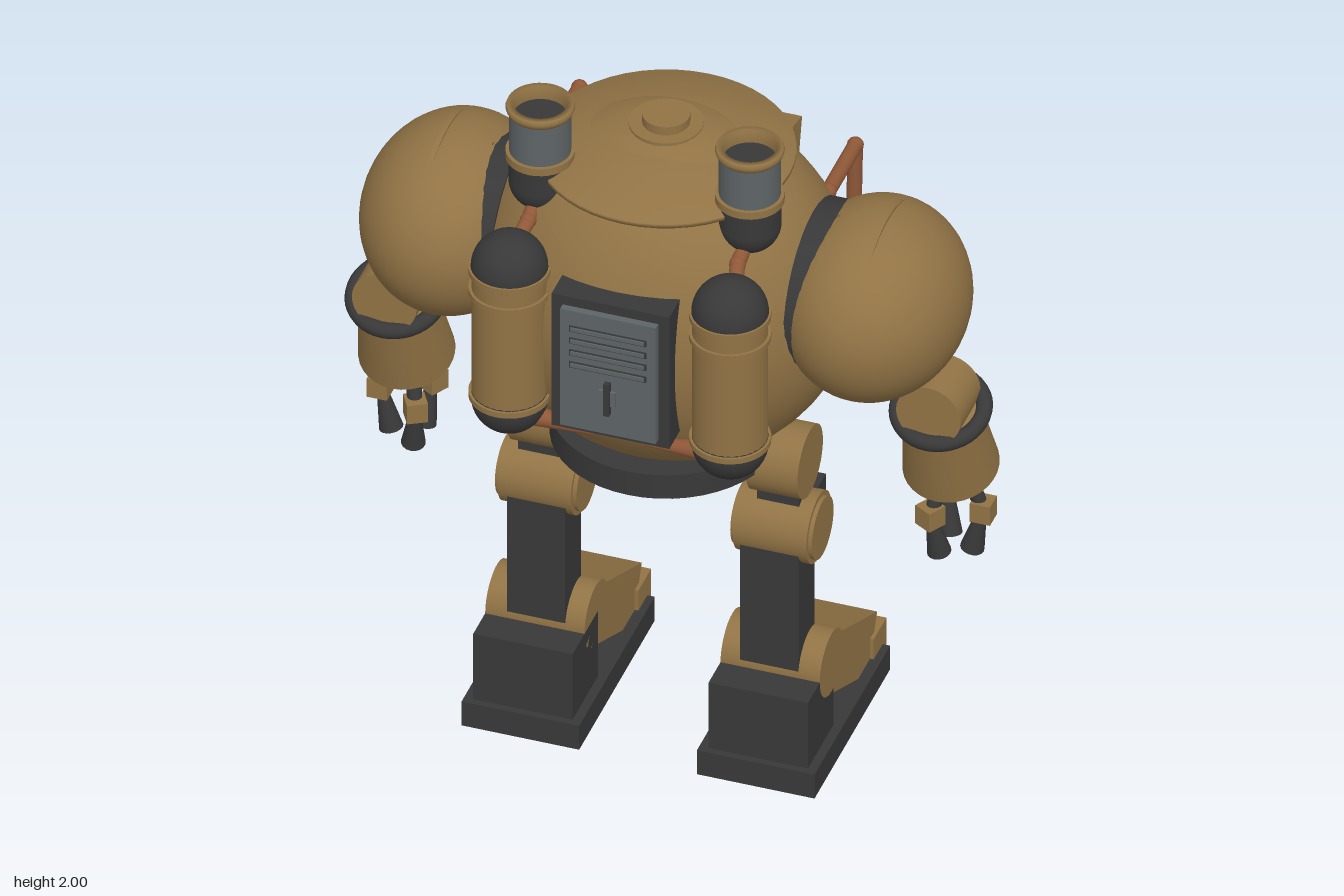
import * as THREE from 'three';

const mat = (name, color, side = THREE.FrontSide) => {
  const m = new THREE.MeshStandardMaterial({ color, side });
  m.name = name;
  return m;
};
const V = (x, y, z) => new THREE.Vector3(x, y, z);

export function createModel() {
  const brass = mat('brass', 0x917345);
  const iron = mat('dark iron', 0x383838);
  const steel = mat('steel', 0x5e6466, THREE.DoubleSide);
  const copper = mat('copper', 0x8f5838);
  const glass = mat('dark glass', 0x21393f);
  const model = new THREE.Group();
  model.name = 'walkingMachine';

  const add = (parent, name, geo, m, x = 0, y = 0, z = 0) => {
    const mesh = new THREE.Mesh(geo, m);
    mesh.name = name;
    mesh.position.set(x, y, z);
    parent.add(mesh);
    return mesh;
  };
  const group = (parent, name, x = 0, y = 0, z = 0) => {
    const g = new THREE.Group();
    g.name = name;
    g.position.set(x, y, z);
    parent.add(g);
    return g;
  };
  const box = (w, h, d) => new THREE.BoxGeometry(w, h, d);
  const cyl = (rt, rb, h, n = 32, open = false) => new THREE.CylinderGeometry(rt, rb, h, n, 1, open);
  const cylX = (r, l) => cyl(r, r, l).rotateZ(Math.PI / 2);
  const cylZ = (r, l, r2 = r) => cyl(r, r2, l).rotateX(-Math.PI / 2);
  const ball = (rx, ry = rx, rz = rx) => new THREE.SphereGeometry(1, 48, 32).scale(rx, ry, rz);
  // Straight rod between two points
  const rod = (parent, name, a, b, ra, rb, m) => {
    const d = b.clone().sub(a);
    const mesh = add(parent, name, cyl(rb, ra, d.length(), 16), m);
    mesh.position.copy(a).addScaledVector(d, 0.5);
    mesh.quaternion.setFromUnitVectors(V(0, 1, 0), d.normalize());
    return mesh;
  };
  // Pipe with ball joints along a path
  const pipe = (parent, name, pts, r) => {
    const g = group(parent, name);
    pts.forEach((p, i) => {
      add(g, 'joint', new THREE.SphereGeometry(r * 1.12, 12, 8), copper, p.x, p.y, p.z);
      if (i) rod(g, 'pipe', pts[i - 1], p, r, r, copper);
    });
  };

  // Hull, waist and lid
  add(model, 'hull', ball(0.5, 0.5, 0.415), brass, 0, 1.4, 0);
  add(model, 'waistRing', cyl(0.3, 0.3, 0.075, 48), iron, 0, 0.947, 0);
  add(model, 'bellyFrame', box(0.38, 0.04, 0.28), iron, 0, 0.895, 0);
  add(model, 'bellyPlate', box(0.3, 0.03, 0.2), steel, 0, 0.87, 0);
  const lid = [[0, 1.8], [0.335, 1.8], [0.335, 1.812], [0.25, 1.84], [0.19, 1.861], [0.12, 1.876], [0, 1.885]];
  add(model, 'lid', new THREE.LatheGeometry(lid.map(p => new THREE.Vector2(...p)), 48), brass);
  add(model, 'lidCollar', cyl(0.097, 0.097, 0.02), brass, 0, 1.885, 0);
  add(model, 'lidKnob', cyl(0.062, 0.062, 0.035), brass, 0, 1.903, 0);

  // Furnace door with vents and handle
  const door = group(model, 'door', 0, 1.4, 0);
  add(door, 'doorFrame', box(0.32, 0.42, 0.13), iron, 0, 0, 0.37);
  add(door, 'doorPlate', box(0.26, 0.37, 0.02), steel, 0, -0.003, 0.445);
  for (let i = 0; i < 4; i++) {
    add(door, 'ventGap', box(0.21, 0.018, 0.004), iron, 0, 0.013 + i * 0.038, 0.457);
    add(door, 'ventSlat', box(0.2, 0.011, 0.008), steel, 0, 0.014 + i * 0.038, 0.459);
  }
  add(door, 'handleBar', box(0.016, 0.1, 0.016), iron, 0, -0.07, 0.463);
  add(door, 'handleCross', box(0.045, 0.045, 0.008), steel, 0, -0.07, 0.459);

  // Viewing window, tilted down
  const win = group(model, 'window', 0, 1.525, -0.425);
  win.rotation.x = -0.22;
  add(win, 'windowBack', box(0.4, 0.21, 0.05), brass, 0, 0, 0.005);
  for (const s of [-1, 1]) {
    add(win, 'windowFrameSide', box(0.04, 0.21, 0.02), brass, s * 0.18, 0, -0.03);
    add(win, 'windowFrameRail', box(0.32, 0.035, 0.02), brass, 0, s * 0.0875, -0.03);
  }
  add(win, 'windowGlass', box(0.32, 0.14, 0.008), glass, 0, 0, -0.024);

  // Stepped round port below the window
  const port = group(model, 'port', 0, 1.125, -0.37);
  port.rotation.x = -0.42;
  [[0.14, 0.06, 0], [0.11, 0.03, -0.035], [0.08, 0.03, -0.055]].forEach(([r, l, z]) =>
    add(port, 'portRing', cylZ(r, l), brass, 0, 0, z));
  add(port, 'portLens', ball(0.042, 0.042, 0.025), iron, 0, 0, -0.07);

  for (const s of [1, -1]) {
    const side = s > 0 ? 'left' : 'right';

    // Gas tank
    const tank = group(model, side + 'Tank', s * 0.3, 0, 0.362);
    add(tank, 'tankBody', cyl(0.098, 0.098, 0.42), brass, 0, 1.405, 0);
    for (const y of [1.2, 1.612]) add(tank, 'tankCap', ball(0.1), iron, 0, y, 0);
    for (const y of [1.21, 1.54, 1.605]) add(tank, 'tankBand', cyl(0.106, 0.106, 0.016), brass, 0, y, 0);
    rod(model, side + 'TankNozzle', V(s * 0.23, 1.15, 0.36), V(s * 0.07, 1.14, 0.36), 0.027, 0.012, copper);
    pipe(model, side + 'TankPipe', [V(s * 0.3, 1.65, 0.33), V(s * 0.285, 1.69, 0.26), V(s * 0.285, 1.72, 0.17)], 0.02);

    // Chimney
    const ch = group(model, side + 'Chimney', s * 0.285, 0, 0.165);
    add(ch, 'chimneyFoot', ball(0.082), iron, 0, 1.76, 0);
    add(ch, 'chimneyBase', cyl(0.082, 0.082, 0.09), iron, 0, 1.8, 0);
    add(ch, 'chimneyBand', cyl(0.09, 0.09, 0.022), brass, 0, 1.842, 0);
    add(ch, 'chimneyStack', cyl(0.08, 0.08, 0.14, 32, true), steel, 0, 1.92, 0);
    add(ch, 'chimneyMouth', cyl(0.076, 0.076, 0.1), iron, 0, 1.91, 0);
    const rim = [[0.07, 1.96], [0.086, 1.978], [0.09, 1.989], [0.086, 2], [0.07, 2], [0.07, 1.96]];
    add(ch, 'chimneyRim', new THREE.LatheGeometry(rim.map(p => new THREE.Vector2(...p)), 32), brass);

    // Copper pipe beside the window
    pipe(model, side + 'SteamPipe', [
      V(s * 0.375, 1.63, -0.19), V(s * 0.375, 1.63, -0.4), V(s * 0.365, 1.35, -0.415),
      V(s * 0.22, 1.33, -0.44), V(s * 0.21, 1.14, -0.43), V(s * 0.2, 1.12, -0.3)], 0.02);

    // Shoulder
    const sh = group(model, side + 'Shoulder', 0, 1.47, 0);
    add(sh, 'shoulderCollar', cylX(0.235, 0.08), iron, s * 0.44, 0, 0);
    add(sh, 'shoulderRing', new THREE.TorusGeometry(0.205, 0.038, 12, 48).rotateY(Math.PI / 2), iron, s * 0.49, 0, 0);
    add(sh, 'shoulderBall', ball(0.245, 0.26, 0.295), brass, s * 0.57, 0, 0);
    add(sh, 'shoulderSeam', cylX(0.266, 0.014), brass, s * 0.598, 0, 0);

    // Arm, leaning toward -z
    const arm = group(model, side + 'Arm', s * 0.74, 0, 0);
    add(arm, 'elbow', cylZ(0.088, 0.155), brass, 0, 1.187, 0);
    const fore = group(arm, 'forearm', 0, 1.145, -0.02);
    fore.rotation.x = 0.33;
    add(fore, 'elbowRing', new THREE.TorusGeometry(0.113, 0.022, 12, 40).rotateX(Math.PI / 2), iron);
    add(fore, 'forearmShell', cyl(0.1, 0.126, 0.245), brass, 0, -0.122, 0);
    add(fore, 'wrist', cyl(0.075, 0.06, 0.06), iron, 0, -0.27, 0);
    for (let i = 0; i < 3; i++) {
      const finger = group(arm, 'finger', 0, 0, -0.122);
      finger.rotation.y = (s > 0 ? 0 : Math.PI) + i * Math.PI * 2 / 3;
      rod(finger, 'fingerRod', V(0.035, 0.89, 0), V(0.076, 0.77, 0), 0.02, 0.02, iron);
      add(finger, 'knuckle', box(0.055, 0.058, 0.055), brass, 0.08, 0.77, 0);
      rod(finger, 'claw', V(0.075, 0.755, 0), V(0.05, 0.64, 0), 0.014, 0.032, iron);
    }

    // Leg
    const leg = group(model, side + 'Leg', s * 0.32, 0, 0);
    add(leg, 'hip', cylX(0.1, 0.14), brass, s * 0.005, 0.91, 0.01);
    add(leg, 'thigh', box(0.115, 0.16, 0.1), iron, s * 0.005, 0.81, 0.01);
    add(leg, 'knee', cylX(0.098, 0.2), brass, 0, 0.71, 0.015);
    add(leg, 'kneeCap', cylX(0.085, 0.222), brass, 0, 0.71, 0.015);
    add(leg, 'kneeBracket', box(0.16, 0.1, 0.1), iron, 0, 0.745, -0.05);
    add(leg, 'kneePlate', box(0.14, 0.13, 0.08), brass, 0, 0.7, -0.075);
    add(leg, 'shin', box(0.158, 0.37, 0.125), iron, s * -0.003, 0.49, 0.043);
    add(leg, 'piston', cyl(0.036, 0.036, 0.34, 24), copper, 0, 0.49, -0.05);
    add(leg, 'pistonSeat', cyl(0.045, 0.045, 0.05, 24), brass, 0, 0.34, -0.05);
    add(leg, 'ankle', cylX(0.092, 0.27), brass, 0, 0.285, 0.015);

    // Foot
    const foot = group(leg, 'foot');
    add(foot, 'sole', box(0.32, 0.076, 0.59), iron, 0, 0.038, -0.075);
    add(foot, 'heel', box(0.27, 0.21, 0.2), iron, 0, 0.18, 0.1);
    add(foot, 'instep', box(0.26, 0.165, 0.37), brass, 0, 0.193, -0.153).rotation.x = -0.445;
    add(foot, 'toe', box(0.28, 0.085, 0.1), brass, 0, 0.097, -0.35);
  }
  return model;
}
